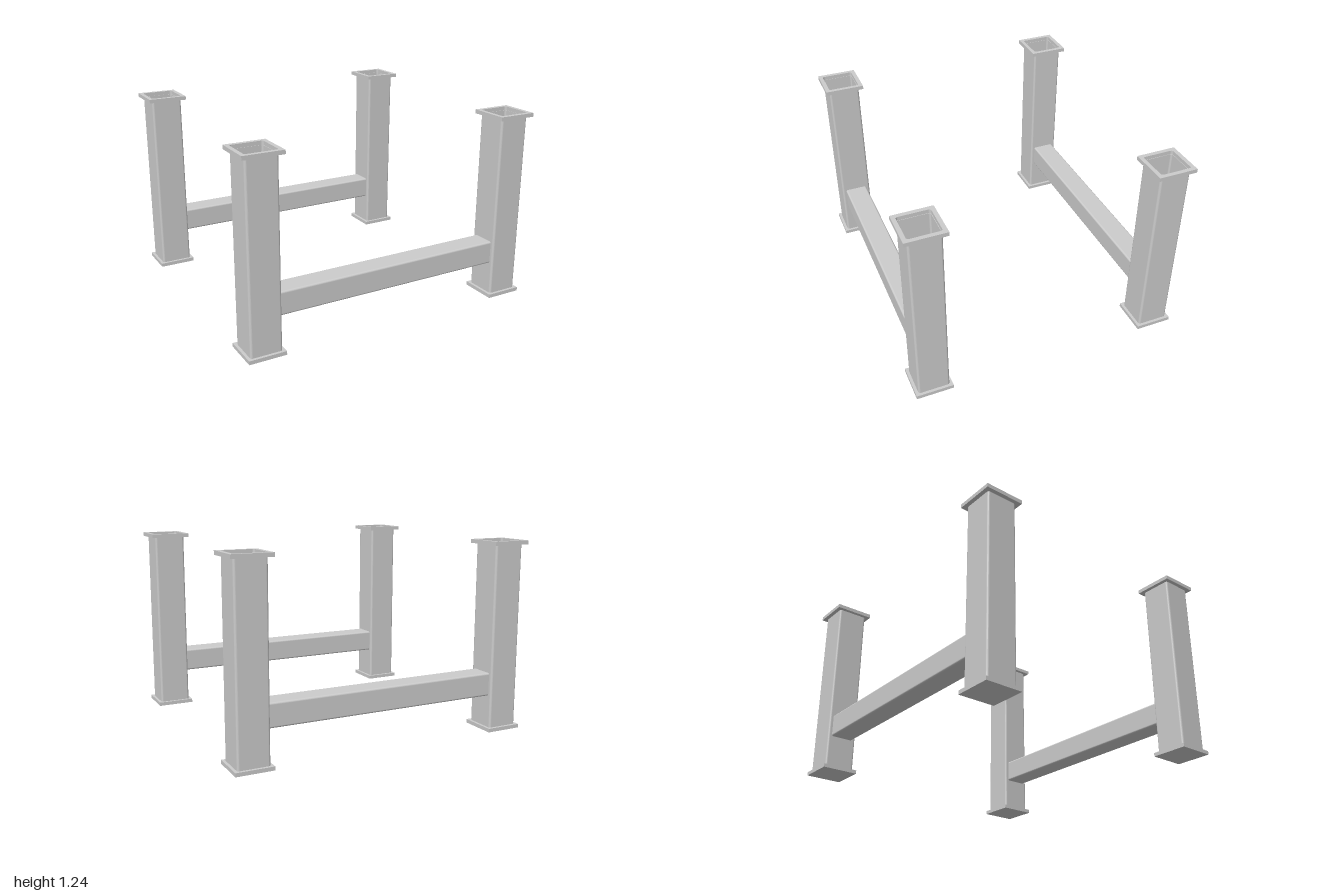
import * as THREE from 'three';

const material = new THREE.MeshStandardMaterial({ color: 0xcccccc, side: THREE.DoubleSide });

// Square outline with rounded corners, centred on the origin
function roundedSquare(size, r, Type = THREE.Shape) {
  const h = size / 2, c = h - r, s = new Type();
  s.moveTo(-c, -h);
  s.lineTo(c, -h);
  s.absarc(c, -c, r, -Math.PI / 2, 0);
  s.lineTo(h, c);
  s.absarc(c, c, r, 0, Math.PI / 2);
  s.lineTo(-c, h);
  s.absarc(-c, c, r, Math.PI / 2, Math.PI);
  s.lineTo(-h, -c);
  s.absarc(-c, -c, r, Math.PI, Math.PI * 1.5);
  return s;
}

function squareShape(size) {
  const h = size / 2;
  return new THREE.Shape([[-h, -h], [h, -h], [h, h], [-h, h]].map(([x, y]) => new THREE.Vector2(x, y)));
}

const extrude = (shape, depth) =>
  new THREE.ExtrudeGeometry(shape, { depth, bevelEnabled: false, curveSegments: 5 });

// Upright extrusion starting at height y
const upright = (shape, y, height) => extrude(shape, height).rotateX(-Math.PI / 2).translate(0, y, 0);

function part(name, geometry) {
  const mesh = new THREE.Mesh(geometry, material);
  mesh.name = name;
  return mesh;
}

export function createModel() {
  const model = new THREE.Group();
  model.name = 'tableLegFrames';
  const legX = 0.872, frameZ = 0.775;

  // Thin-walled hollow post
  const postShape = roundedSquare(0.203, 0.014);
  postShape.holes.push(roundedSquare(0.197, 0.011, THREE.Path));
  const postGeo = upright(postShape, 0.023, 1.189);

  // Open collar at the top, solid plate at the foot
  const collarShape = squareShape(0.256);
  collarShape.holes.push(roundedSquare(0.203, 0.014, THREE.Path));
  const collarGeo = upright(collarShape, 1.211, 0.025);
  const footGeo = new THREE.BoxGeometry(0.24, 0.024, 0.24).translate(0, 0.012, 0);

  // Crossbar, its ends reaching just inside the posts
  const barLength = 1.56;
  const barGeo = extrude(roundedSquare(0.151, 0.012), barLength)
    .translate(0, 0, -barLength / 2).rotateY(Math.PI / 2);

  for (const [zName, sz] of [['front', 1], ['back', -1]]) {
    const frame = new THREE.Group();
    frame.name = `${zName}Frame`;
    frame.position.z = sz * frameZ;
    for (const [xName, sx] of [['Left', 1], ['Right', -1]]) {
      const leg = new THREE.Group();
      leg.name = `${zName}${xName}Leg`;
      leg.position.x = sx * legX;
      leg.add(part('post', postGeo), part('topCollar', collarGeo), part('footPlate', footGeo));
      frame.add(leg);
    }
    const bar = part('crossbar', barGeo);
    bar.position.y = 0.309;
    frame.add(bar);
    model.add(frame);
  }
  return model;
}
